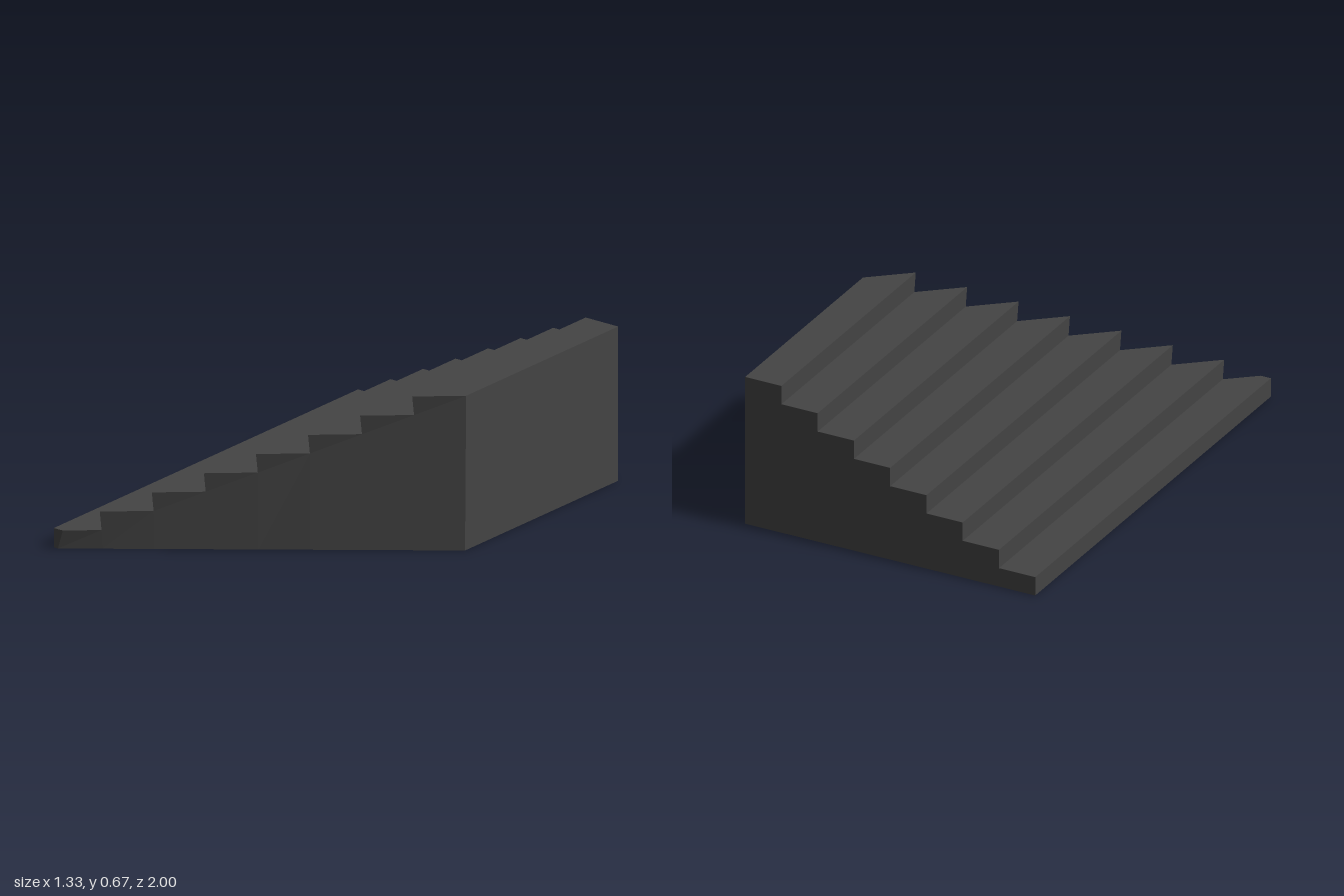
import * as THREE from 'three';

const STEPS = 8;
const HALF = 2 / 3;            // half the width of the flight
const RUN = (2 * HALF) / STEPS;
const RISE = RUN / 2;
const BACK = -1;

// Depth of the oblique front wall: at the floor, at inner step corners, at nosings
const floorZ = x => 0.007 + (HALF - x) * 0.757;
const innerZ = x => (HALF - x) * 0.771;
const noseZ = x => innerZ(x) + 0.012;

export function createModel() {
  const pos = [];
  // Flat convex polygon, corners counter-clockwise from outside
  const face = (...p) => {
    for (let i = 1; i < p.length - 1; i++) pos.push(...p[0], ...p[i], ...p[i + 1]);
  };

  for (let i = 0; i < STEPS; i++) {
    const x0 = -HALF + i * RUN, x1 = x0 + RUN;
    const y0 = i * RISE, y1 = y0 + RISE;
    const floorR = [x1, 0, floorZ(x1)];
    const innerR = [x1, y1, innerZ(x1)];
    // Left-hand front corners; the lowest step is cut off square at z = 1
    const first = i === 0;
    const floorL = first ? [-0.645, 0, 1] : [x0, 0, floorZ(x0)];
    const noseL = first ? [-0.62, y1, 1] : [x0, y1, noseZ(x0)];
    const innerL = [x0, y0, first ? 1 : innerZ(x0)];
    const topL = [x0, y1, first ? 1 : noseZ(x0)];

    // Tread, riser, back and underside
    face(topL, noseL, innerR, [x1, y1, BACK], [x0, y1, BACK]);
    face([x0, y0, BACK], innerL, topL, [x0, y1, BACK]);
    face([x1, 0, BACK], [x0, 0, BACK], [x0, y1, BACK], [x1, y1, BACK]);
    face([x0, 0, BACK], [x1, 0, BACK], floorR, floorL, [x0, 0, floorL[2]]);

    // Oblique front wall
    if (first) {
      face(innerL, floorL, noseL, topL);
      face(floorL, floorR, innerR, noseL);
    } else {
      face(floorL, floorR, innerR, innerL);
      face(innerL, innerR, noseL);
    }
  }

  // Tall end wall
  const top = STEPS * RISE;
  face([HALF, 0, floorZ(HALF)], [HALF, 0, BACK], [HALF, top, BACK], [HALF, top, innerZ(HALF)]);

  const geometry = new THREE.BufferGeometry();
  geometry.setAttribute('position', new THREE.Float32BufferAttribute(pos, 3));
  geometry.computeVertexNormals();

  const stairs = new THREE.Mesh(
    geometry,
    new THREE.MeshStandardMaterial({ color: 0x444444, flatShading: true })
  );
  stairs.name = 'stairs';

  const group = new THREE.Group();
  group.name = 'obliqueStaircase';
  group.add(stairs);
  return group;
}
